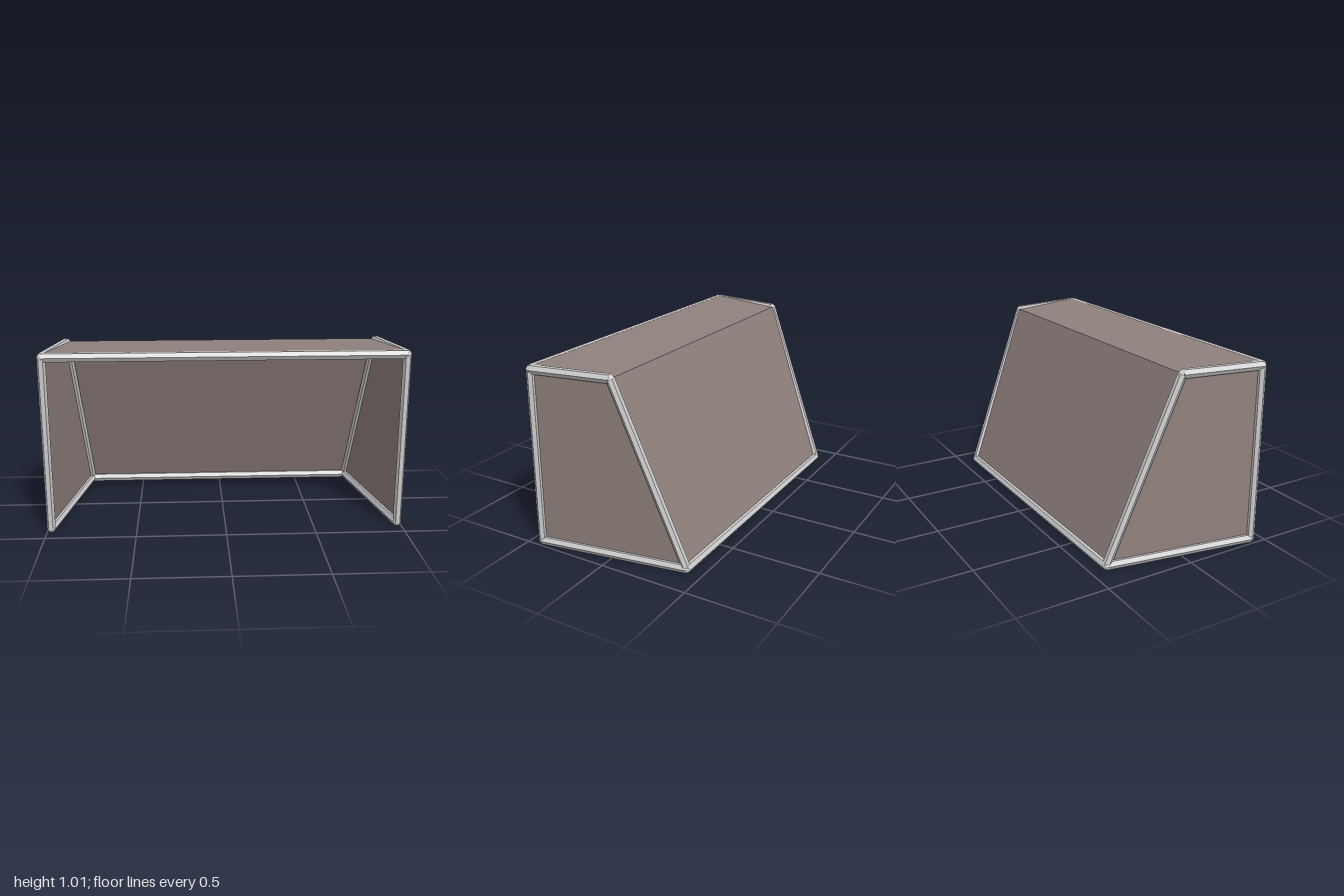
import * as THREE from 'three';

const R = 0.026; // hexagonal tube radius
const V = (x, y, z) => new THREE.Vector3(x, y, z);

const frameMaterial = new THREE.MeshStandardMaterial({ color: 0xcccccc, flatShading: true });
const netMaterial = new THREE.MeshStandardMaterial({ color: 0x8f807d, side: THREE.DoubleSide });

// Hexagonal bar from a to b, with one pair of ridges along the given sideways direction
function bar(name, a, b, ridge, radius = R) {
  const dir = b.clone().sub(a);
  const length = dir.length();
  dir.normalize();
  const across = ridge.clone().addScaledVector(dir, -ridge.dot(dir)).normalize();
  const third = new THREE.Vector3().crossVectors(dir, across);
  const mesh = new THREE.Mesh(new THREE.CylinderGeometry(radius, radius, length, 6), frameMaterial);
  mesh.quaternion.setFromRotationMatrix(new THREE.Matrix4().makeBasis(third, dir, across));
  mesh.position.copy(a).add(b).multiplyScalar(0.5);
  mesh.name = name;
  return mesh;
}

// Faceted knuckle closing the corner where bars meet
function joint(name, p) {
  const mesh = new THREE.Mesh(new THREE.IcosahedronGeometry(0.0235, 1), frameMaterial);
  mesh.position.copy(p);
  mesh.name = name;
  return mesh;
}

// Flat four-cornered net panel
function panel(name, a, b, c, d) {
  const geometry = new THREE.BufferGeometry().setFromPoints([a, b, c, d]);
  geometry.setIndex([0, 1, 2, 0, 2, 3]);
  geometry.computeVertexNormals();
  const mesh = new THREE.Mesh(geometry, netMaterial);
  mesh.name = name;
  return mesh;
}

export function createModel() {
  const goal = new THREE.Group();
  goal.name = 'goal';
  const X = V(1, 0, 0), Z = V(0, 0, 1);

  // Corner points of the frame on one side
  const corners = (s) => ({
    frontFoot: V(s * 0.975, 0.024, 0.415),
    frontTop: V(s * 0.975, 0.992, 0.415),
    backTop: V(s * 0.9, 0.992, -0.025),
    backFoot: V(s * 0.835, 0.024, -0.412),
  });
  const L = corners(1), Rt = corners(-1);

  // Side frames with their nets
  for (const [side, c] of [['left', L], ['right', Rt]]) {
    const group = new THREE.Group();
    group.name = side + 'Side';
    group.add(
      bar('frontPost', c.frontFoot, c.frontTop, X, 0.0235),
      bar('topRail', c.frontTop, c.backTop, X),
      bar('backStrut', c.backTop, c.backFoot, X, 0.0235),
      bar('groundRail', c.backFoot, c.frontFoot, X),
      panel('sideNet', c.frontFoot, c.backFoot, c.backTop, c.frontTop)
    );
    for (const key in c) group.add(joint(key + 'Joint', c[key]));
    goal.add(group);
  }

  // Cross bars joining the two sides
  goal.add(
    bar('crossbar', Rt.frontTop, L.frontTop, Z),
    bar('backGroundBar', Rt.backFoot, L.backFoot, Z)
  );

  // Roof net slopes from the top of the crossbar to the strut tops, then the back net falls to the ground bar
  const roofFront = (s) => V(s * 0.985, 1.014, 0.405);
  const roofBack = (s) => V(s * 0.9, 0.998, -0.037);
  const netFoot = (s) => V(s * 0.835, 0.03, -0.414);
  goal.add(
    panel('roofNet', roofFront(-1), roofFront(1), roofBack(1), roofBack(-1)),
    panel('backNet', roofBack(-1), roofBack(1), netFoot(1), netFoot(-1))
  );
  return goal;
}
